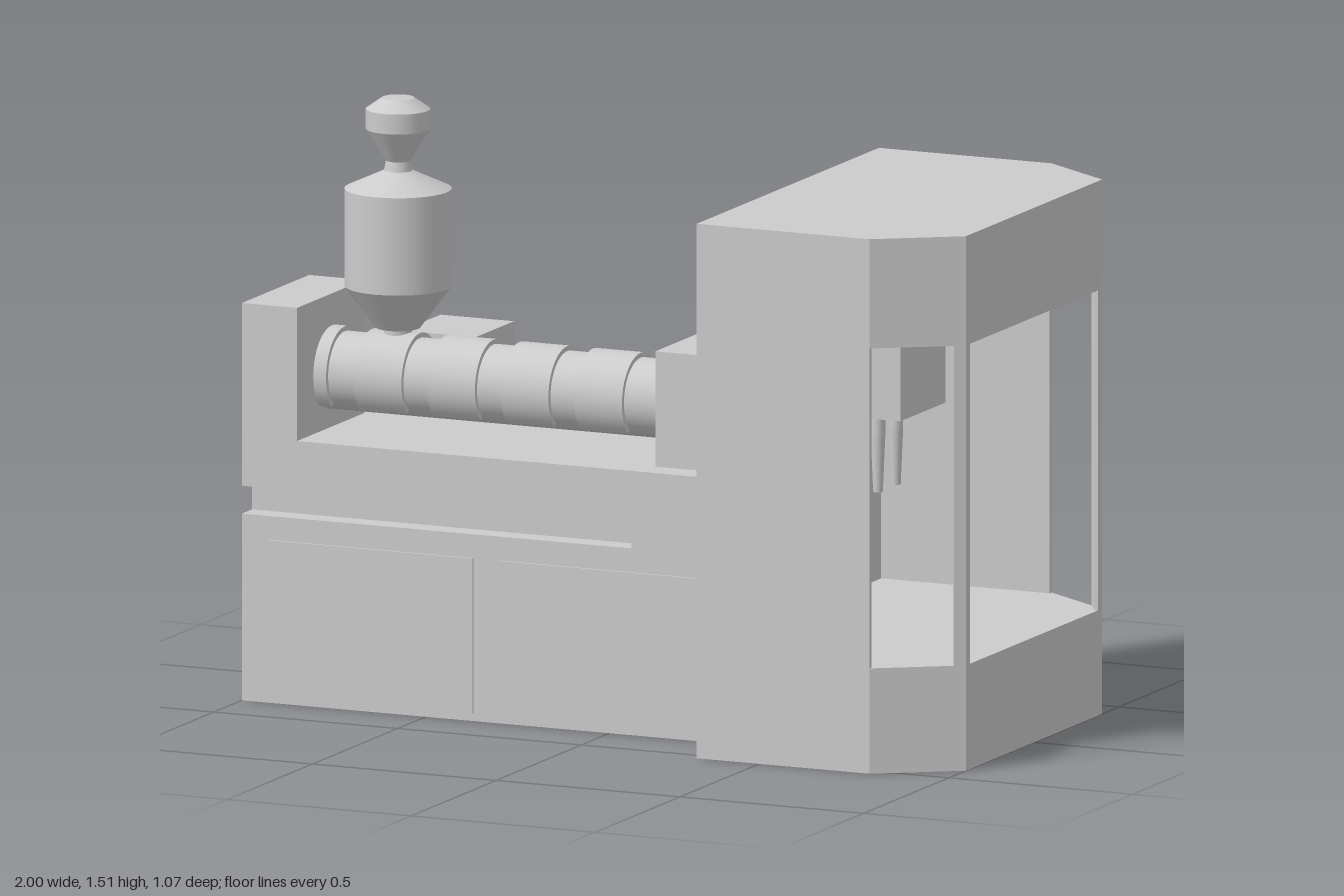
import * as THREE from 'three';

const mat = new THREE.MeshStandardMaterial({ color: 0xcccccc, side: THREE.DoubleSide });

export function createModel() {
  const model = new THREE.Group();

  const add = (name, geo) => {
    const mesh = new THREE.Mesh(geo, mat);
    mesh.name = name;
    model.add(mesh);
    return mesh;
  };
  // box from its limits on each axis
  const box = (name, x0, x1, y0, y1, z0, z1) =>
    add(name, new THREE.BoxGeometry(x1 - x0, y1 - y0, z1 - z0))
      .position.set((x0 + x1) / 2, (y0 + y1) / 2, (z0 + z1) / 2);
  const shapeOf = pts => new THREE.Shape(pts.map(p => new THREE.Vector2(...p)));
  // plan outline [x, z] raised from y0 to y1
  const prism = (name, pts, y0, y1) => {
    const geo = new THREE.ExtrudeGeometry(shapeOf(pts.map(([x, z]) => [x, -z])),
      { depth: y1 - y0, bevelEnabled: false });
    add(name, geo.rotateX(-Math.PI / 2)).position.y = y0;
  };
  // lathe with sharp edges between the profile sections
  const turned = (name, pts, x, z) => {
    const group = new THREE.Group();
    group.name = name;
    for (let i = 0; i < pts.length - 1; i++) {
      const part = new THREE.Mesh(new THREE.LatheGeometry(
        [new THREE.Vector2(...pts[i]), new THREE.Vector2(...pts[i + 1])], 32), mat);
      part.name = name + 'Section';
      group.add(part);
    }
    group.position.set(x, 0, z);
    model.add(group);
  };

  // machine bed with a long slot on both sides
  box('bedLower', -1, 0.33, 0, 0.47, -0.335, 0.335);
  prism('bedSlot', [[-1, -0.275], [0.06, -0.275], [0.06, -0.335], [0.33, -0.335],
    [0.33, 0.335], [0.06, 0.335], [0.06, 0.275], [-1, 0.275]], 0.47, 0.54);
  box('bedUpper', -1, 0.33, 0.54, 0.665, -0.335, 0.335);
  for (const s of [-1, 1])
    for (const x of [-0.93, -0.3])
      box('doorPanel', x, x + 0.56, 0.02, 0.41, s * 0.337 - 0.004, s * 0.337 + 0.004);

  // blocks on the bed
  box('driveHousing', -1, -0.85, 0.665, 1, -0.06, 0.335);
  box('controlBox', -0.77, -0.57, 0.665, 0.87, -0.335, -0.11);
  box('barrelMount', 0.09, 0.28, 0.665, 0.955, 0, 0.26);
  box('rearBlock', 0.09, 0.41, 0.665, 0.955, -0.3, -0.04);

  // barrel with heater covers open at the bottom
  const barrel = add('barrel', new THREE.CylinderGeometry(0.098, 0.098, 0.94, 48));
  barrel.rotation.z = Math.PI / 2;
  barrel.position.set(-0.38, 0.81, 0.13);
  const gap = 1.5;
  for (const [x0, x1] of [[-0.85, -0.815], [-0.74, -0.61], [-0.54, -0.41], [-0.34, -0.21], [-0.14, -0.01]]) {
    const cover = add('heaterCover', new THREE.CylinderGeometry(
      0.11, 0.11, x1 - x0, 40, 1, false, -Math.PI / 2 + gap / 2, Math.PI * 2 - gap));
    cover.rotation.z = Math.PI / 2;
    cover.position.set((x0 + x1) / 2, 0.81, 0.13);
  }

  // hopper with a small loader on top
  turned('hopper', [[0.035, 0.88], [0.035, 0.93], [0.055, 0.93], [0.133, 1.035], [0.133, 1.28],
    [0.035, 1.325], [0.03, 1.35], [0.08, 1.43], [0.08, 1.48], [0.04, 1.508], [0, 1.51]], -0.67, 0.13);

  // cabin: solid foot, roof, header band, side walls and corner posts
  const t = 0.012;
  const outline = [[0.33, 0.535], [0.8, 0.535], [1, 0.4], [1, -0.4], [0.8, -0.535], [0.33, -0.535]];
  const inner = [[0.33, -0.535 + t], [0.796, -0.535 + t], [1 - t, -0.393], [1 - t, 0.393],
    [0.796, 0.535 - t], [0.33, 0.535 - t]];
  prism('cabinFoot', outline, 0, 0.265);
  prism('cabinHeader', [...outline, ...inner], 1.07, 1.33);
  prism('cabinRoof', outline, 1.33, 1.345);
  for (const s of [-1, 1]) {
    box('cabinSide', 0.33, 0.8, 0.265, 1.07, s * 0.529 - t / 2, s * 0.529 + t / 2);
    prism('cabinPost', [[1, 0.375], [1, 0.4], [0.975, 0.417], [0.968, 0.407], [1 - t, 0.393], [1 - t, 0.375]]
      .map(([x, z]) => [x, s * z]), 0.265, 1.07);
  }
  // cabin wall toward the bed, with a large opening
  const rect = (w, y0, y1) => [[-w, y0], [w, y0], [w, y1], [-w, y1]];
  const wall = shapeOf(rect(0.535, 0.265, 1.33));
  wall.holes.push(shapeOf(rect(0.47, 0.665, 1.27)));
  add('cabinInnerWall', new THREE.ExtrudeGeometry(wall, { depth: t, bevelEnabled: false })
    .rotateY(Math.PI / 2)).position.x = 0.33;

  // upright frame holding two columns inside the cabin
  box('frameBack', 0.28, 0.35, 0.665, 1.255, 0, 0.265);
  box('frameBottom', 0.35, 0.5, 0.665, 0.7, 0, 0.265);
  box('frameTop', 0.35, 0.5, 1.22, 1.255, 0, 0.265);
  for (const z of [0.065, 0.2])
    add('column', new THREE.CylinderGeometry(0.064, 0.064, 0.52, 32)).position.set(0.425, 0.96, z);

  // head with two nozzles
  box('nozzleHead', 0.41, 0.62, 0.77, 1.08, -0.3, -0.035);
  for (const z of [-0.12, -0.225])
    turned('nozzle', [[0.018, 0.78], [0.018, 0.71], [0.012, 0.57], [0, 0.57]], 0.52, z);

  return model;
}
